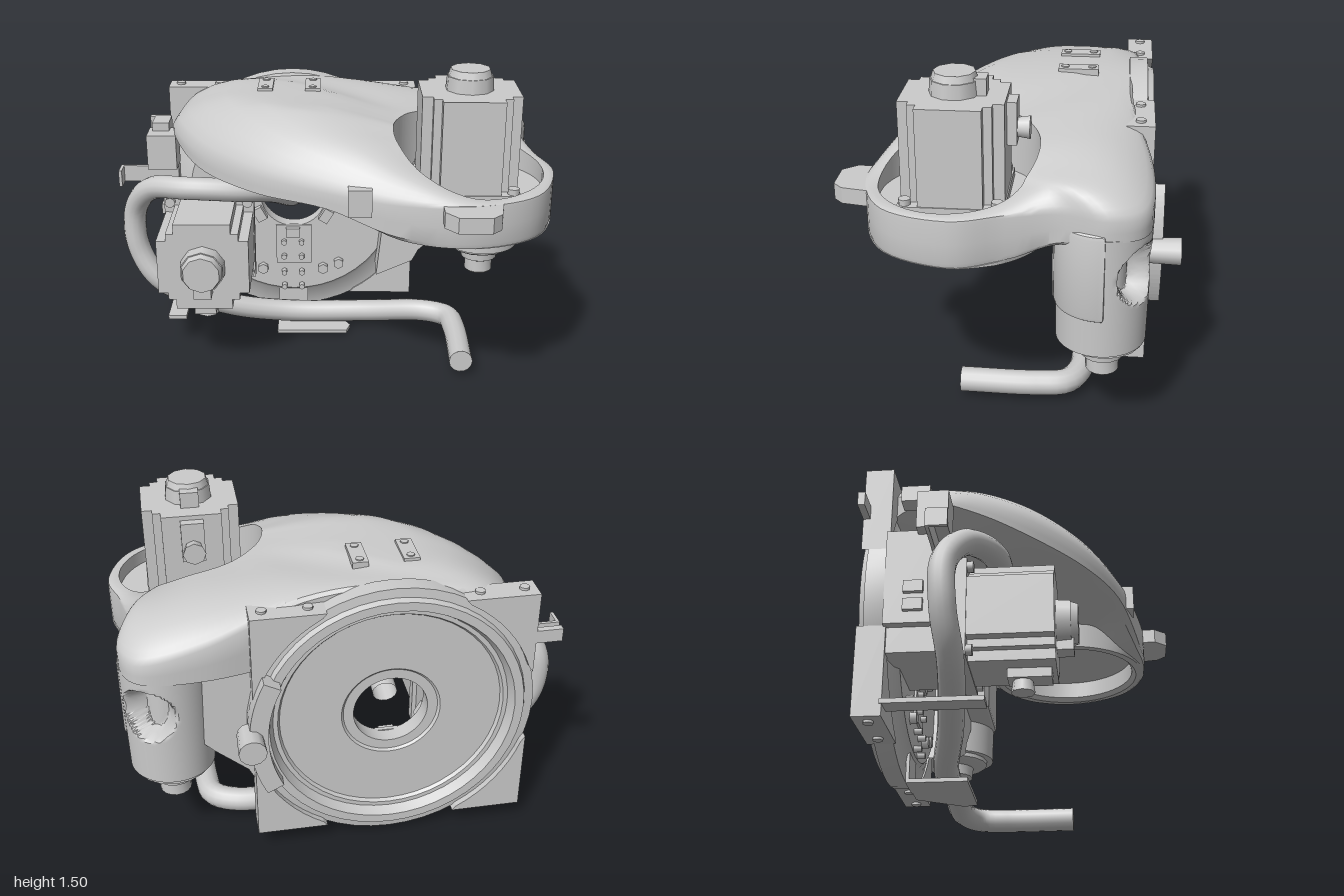
import * as THREE from 'three';
import { toCreasedNormals } from 'three/addons/utils/BufferGeometryUtils.js';

const V = (x, y, z) => new THREE.Vector3(x, y, z);
const mat = new THREE.MeshStandardMaterial({ color: 0xcccccc, side: THREE.DoubleSide });
const DISC = [-0.17, 0.68], HUB = [0.62, 0.2];

function add(parent, name, geo, x = 0, y = 0, z = 0) {
  const m = new THREE.Mesh(geo, mat);
  m.name = name;
  m.position.set(x, y, z);
  parent.add(m);
  return m;
}
// box given by its limits on each axis
const block = (p, name, x0, x1, y0, y1, z0, z1) => add(p, name,
  new THREE.BoxGeometry(x1 - x0, y1 - y0, z1 - z0), (x0 + x1) / 2, (y0 + y1) / 2, (z0 + z1) / 2);
// turned profile of [radius, height] pairs
const turned = (pts, n = 48) =>
  toCreasedNormals(new THREE.LatheGeometry(pts.map(p => new THREE.Vector2(...p)), n), 0.6);
// flat outline pushed along z
const slab = (pts, depth) => new THREE.ExtrudeGeometry(
  new THREE.Shape(pts.map(p => new THREE.Vector2(...p))), { depth, bevelEnabled: false });

// Hood: lofted along rays from the motor pocket out to the plan outline.
// columns: x, z, underside height, shoulder height, pocket rim height, crown
function hood() {
  const c = [
    [1.0, 0.2, 0.85, 1.05, 1.06, 0], [0.89, 0.47, 0.85, 1.04, 1.05, 0], [0.62, 0.59, 0.85, 1.04, 1.05, 0],
    [0.3, 0.56, 0.87, 1.04, 1.13, 0], [0, 0.47, 0.96, 1.06, 1.2, 0.02], [-0.3, 0.32, 0.97, 1.08, 1.23, 0.05],
    [-0.55, 0.1, 0.99, 1.1, 1.25, 0.08], [-0.69, -0.13, 1.04, 1.12, 1.25, 0.1], [-0.73, -0.33, 1.07, 1.13, 1.25, 0.1],
    [-0.6, -0.52, 1.03, 1.21, 1.25, 0.08], [-0.2, -0.5, 0.97, 1.29, 1.25, 0.03], [0.2, -0.5, 0.95, 1.26, 1.24, 0.03],
    [0.6, -0.585, 0.95, 1.14, 1.22, 0.03], [0.88, -0.57, 0.95, 1.07, 1.18, 0.03], [0.97, -0.42, 0.95, 1.07, 1.15, 0.03],
    [0.92, -0.22, 0.92, 1.07, 1.12, 0.02], [0.95, -0.02, 0.87, 1.06, 1.08, 0]];
  const curve = (a, b, d) => new THREE.CatmullRomCurve3(c.map(r => V(r[a], r[b], r[d])), true, 'catmullrom', 0.5);
  const c1 = curve(0, 1, 2), c2 = curve(3, 4, 5);
  const N = 102, S = [0.03, 0.08, 0.15, 0.25, 0.38, 0.52, 0.68, 0.84, 1];
  const pos = [], idx = [];
  let M = 0;
  for (let i = 0; i <= N; i++) {
    const t = (i % N) / N, o = c1.getPoint(t), h = c2.getPoint(t);
    const dx = o.x - HUB[0], dz = o.y - HUB[1], L = Math.hypot(dx, dz);
    const at = (r, y) => [HUB[0] + dx / L * r, y, HUB[1] + dz / L * r];
    const rows = [at(0.33, 0.87), at(0.35, 0.85), at(Math.min(0.385, L), 0.85), at(Math.min(0.39, L), Math.min(o.z, 0.97)),
      at(L - Math.max(0.005, (L - 0.39) * 0.2), Math.min(o.z, 0.97)), at(L, o.z + 0.02), at(L, (o.z + h.x) / 2), at(L, h.x - 0.01)];
    for (const s of S) {
      const y = h.x + (h.y - h.x) * (1 - (1 - s) ** 3) + h.z * Math.sin(Math.PI * s ** 0.7);
      rows.push(at(L + (0.33 - L) * s, Math.min(y, 1.31)));
    }
    rows.push(at(0.33, 0.87));
    M = rows.length;
    pos.push(...rows.flat());
  }
  for (let i = 0; i < N; i++) for (let j = 0; j < M - 1; j++) {
    const a = i * M + j, b = a + M;
    idx.push(a, b, a + 1, b, b + 1, a + 1);
  }
  const g = new THREE.BufferGeometry();
  g.setAttribute('position', new THREE.Float32BufferAttribute(pos, 3));
  g.setIndex(idx);
  return toCreasedNormals(g, 0.6);
}

// Motor built upright on y, base at 0, end cap on top
function motor(name, h) {
  const g = new THREE.Group(), a = 0.21, b = 0.13, q = 0.165;
  g.name = name;
  const sect = [[a, -b], [a, b], [q, b], [q, q], [b, q], [b, a], [-b, a], [-b, q], [-q, q], [-q, b],
    [-a, b], [-a, -b], [-q, -b], [-q, -q], [-b, -q], [-b, -a], [b, -a], [b, -q], [q, -q], [q, -b]];
  add(g, 'motorBody', slab(sect, h).rotateX(-Math.PI / 2));
  block(g, 'motorFlange', -0.215, 0.215, 0, 0.05, -0.215, 0.215);
  add(g, 'endCap', new THREE.CylinderGeometry(0.1, 0.105, 0.06, 10), 0, h + 0.03, 0);
  add(g, 'capBoss', new THREE.CylinderGeometry(0.085, 0.095, 0.03, 10), 0, h + 0.075, 0);
  block(g, 'capPlug', -0.04, 0.04, h, h + 0.07, -0.13, -0.05);
  for (const x of [-0.185, 0.185]) for (const z of [-0.185, 0.185])
    add(g, 'flangeBolt', new THREE.CylinderGeometry(0.025, 0.025, 0.03, 8), x, 0.06, z);
  // cable connector on the side
  block(g, 'connectorBase', -0.05, 0.05, h - 0.2, h - 0.02, -0.25, -0.2);
  add(g, 'connector', new THREE.CylinderGeometry(0.04, 0.05, 0.06, 8).rotateX(Math.PI / 2), 0, h - 0.14, -0.27);
  return g;
}

export function createModel() {
  const root = new THREE.Group();
  root.name = 'armColumn';
  add(root, 'hood', hood());
  add(root, 'pocketFloor', new THREE.CylinderGeometry(0.335, 0.335, 0.03, 40), HUB[0], 0.97, HUB[1]);

  // Rear dished disc with corner lugs around it and an arc-shaped stop
  add(root, 'mountingDisc', turned([[0.165, -0.44], [0.165, -0.52], [0.21, -0.52], [0.22, -0.53], [0.49, -0.53], [0.5, -0.545],
    [0.52, -0.545], [0.54, -0.59], [0.58, -0.59], [0.59, -0.565], [0.63, -0.56], [0.63, -0.48], [0.54, -0.46], [0.52, -0.44], [0.165, -0.44]])
    .rotateX(Math.PI / 2), ...DISC, 0);
  for (const sx of [-1, 1]) for (const sy of [-1, 1]) {
    const pts = [[sx * 0.605, sy * 0.175], [sx * 0.605, sy * 0.56], [sx * 0.29, sy * 0.56]];
    for (let a = 1.05; a > 0.3; a -= 0.09) pts.push([sx * 0.62 * Math.cos(a), sy * 0.62 * Math.sin(a)]);
    add(root, 'cornerLug', slab(pts, 0.12), ...DISC, -0.59);
    for (const x of [0.36, 0.55])
      add(root, 'lugScrew', new THREE.CylinderGeometry(0.022, 0.022, 0.012, 8), DISC[0] + sx * x, DISC[1] + sy * 0.565, -0.53);
  }
  const arc = new THREE.Shape();
  arc.absarc(0, 0, 0.63, -0.47, 0.47, false);
  arc.absarc(0, 0, 0.55, 0.47, -0.47, true);
  add(root, 'stopArc', new THREE.ExtrudeGeometry(arc, { depth: 0.085, bevelEnabled: false }), ...DISC, -0.645);
  add(root, 'stopPin', new THREE.CylinderGeometry(0.055, 0.06, 0.14, 12).rotateX(Math.PI / 2), 0.455, 0.68, -0.655);
  for (const [x, y] of [[-0.47, 1.0], [0.18, 0.94], [0.24, 0.83], [0.26, 0.7], [0.25, 0.57], [0.06, 0.31], [-0.02, 0.28], [-0.33, 0.28], [-0.42, 0.32]])
    add(root, 'plateBolt', new THREE.CylinderGeometry(0.028, 0.028, 0.04, 6).rotateX(Math.PI / 2), x, y, -0.43);
  for (let i = 0; i < 6; i++) {
    const a = i * Math.PI / 3 + 0.5, r = 0.195;
    add(root, 'boreClamp', new THREE.BoxGeometry(0.05, 0.07, 0.05),
      DISC[0] + r * Math.cos(a), DISC[1] + r * Math.sin(a), -0.43).rotation.z = a;
  }

  // Web joining the disc to the gear housing, and the shoulder with a rounded end
  add(root, 'web', slab([[0.25, 0.3], [0.43, 0.38], [0.46, 0.44], [0.6, 0.56], [0.66, 0.62], [0.66, 1.1], [0.2, 1.1], [0.3, 0.8]], 0.22), 0, 0, -0.525);
  const plan = new THREE.Shape();
  plan.moveTo(0.42, 0.45);
  plan.lineTo(0.42, 0.22);
  plan.lineTo(0.44, 0.205);
  plan.lineTo(0.78, 0.205);
  plan.absarc(0.78, 0.395, 0.185, -Math.PI / 2, 0, false);
  plan.lineTo(0.78, 0.45);
  add(root, 'housingShoulder', toCreasedNormals(new THREE.ExtrudeGeometry(plan, { depth: 0.34, bevelSize: 0.012, bevelThickness: 0.02,
    bevelSegments: 2, curveSegments: 12 }).rotateX(-Math.PI / 2), 0.6), 0, 0.64, 0);

  // Gear housing with a recessed oval window facing the rear
  const gear = new THREE.CylinderGeometry(0.195, 0.185, 0.52, 96, 48);
  const p = gear.attributes.position;
  for (let i = 0; i < p.count; i++) {
    const da = Math.atan2(p.getX(i), -p.getZ(i)) - 0.55, dy = p.getY(i) - 0.08;
    const e = Math.hypot(da / 0.72, dy / 0.13);
    const k = 1 - 0.5 * (1 - THREE.MathUtils.smoothstep(e, 0.78, 1));
    if (Math.abs(dy) < 0.15) p.setXYZ(i, p.getX(i) * k, p.getY(i), p.getZ(i) * k);
  }
  add(root, 'gearHousing', toCreasedNormals(gear, 0.7), 0.78, 0.72, -0.395);
  add(root, 'outputFlange', turned([[0, 0.29], [0.06, 0.29], [0.07, 0.3], [0.07, 0.36], [0.09, 0.37], [0.095, 0.42],
    [0.15, 0.43], [0.165, 0.44], [0.165, 0.47]], 16), 0.78, 0, -0.405);

  // Upright motor in the pocket, and the forward-facing motor with its connector below
  const m1 = motor('uprightMotor', 0.46);
  m1.position.set(0.61, 0.97, 0.21);
  root.add(m1);
  const m2 = motor('forwardMotor', 0.4);
  m2.rotation.set(Math.PI / 2, Math.PI, 0);
  m2.position.set(-0.565, 0.58, -0.2);
  root.add(m2);
  block(root, 'motorMount', -0.76, -0.37, 0.39, 0.77, -0.48, -0.19);

  // Cable hose from the bore around the motor and out at the front
  const path = new THREE.CatmullRomCurve3([V(-0.16, 0.72, -0.44), V(-0.17, 0.76, -0.25), V(-0.26, 0.83, -0.12), V(-0.42, 0.86, -0.05),
    V(-0.65, 0.87, -0.05), V(-0.84, 0.83, -0.15), V(-0.93, 0.7, -0.22), V(-0.93, 0.5, -0.22), V(-0.82, 0.32, -0.2), V(-0.5, 0.17, -0.24),
    V(-0.2, 0.1, -0.3), V(0.2, 0.095, -0.31), V(0.5, 0.095, -0.31), V(0.61, 0.095, -0.25), V(0.635, 0.095, -0.12), V(0.635, 0.095, 0.21)]);
  add(root, 'hose', new THREE.TubeGeometry(path, 120, 0.055, 14));
  add(root, 'hoseEnd', new THREE.CircleGeometry(0.055, 14), 0.635, 0.095, 0.21);

  // Hose bracket under the disc
  add(root, 'bracketFoot', slab([[-0.25, 0.2], [0.1, 0.2], [0.12, 0.26], [0.0, 0.46], [-0.25, 0.46]], 0.018).rotateX(-Math.PI / 2), 0, 0.02, 0);
  block(root, 'bracketUpright', -0.25, -0.1, 0.02, 0.28, -0.465, -0.45);
  block(root, 'bracketPad', -0.26, -0.08, 0.31, 0.52, -0.45, -0.43);
  for (const x of [-0.22, -0.13]) for (const y of [0.18, 0.26, 0.35, 0.43])
    add(root, 'bracketBolt', new THREE.CylinderGeometry(0.015, 0.015, 0.05, 6).rotateX(Math.PI / 2), x, y, -0.43);

  // Side brackets and connectors
  block(root, 'lowerSideTab', -0.78, -0.69, 0.17, 0.19, -0.48, -0.07);
  block(root, 'sideArm', -1.0, -0.72, 0.82, 0.9, -0.29, -0.275);
  block(root, 'sideLip', -1.0, -0.985, 0.82, 0.9, -0.29, -0.2);
  block(root, 'sideStrip', -0.8, -0.74, 0.5, 0.92, -0.48, -0.28);
  block(root, 'sideConnector', -0.86, -0.72, 0.9, 1.07, -0.35, -0.22);
  block(root, 'sideClip', -0.84, -0.76, 1.04, 1.11, -0.42, -0.3);
  block(root, 'cornerTab', -0.89, -0.76, 1.0, 1.06, -0.59, -0.56);
  for (const y of [0.55, 0.63]) block(root, 'sidePlug', -0.82, -0.77, y, y + 0.05, -0.4, -0.32);

  // Top pads and front fittings
  for (const x of [-0.285, -0.065]) {
    block(root, 'topPad', x - 0.035, x + 0.035, 1.27, 1.322, -0.34, -0.16);
    for (const z of [-0.31, -0.19]) add(root, 'padScrew', new THREE.CylinderGeometry(0.018, 0.018, 0.01, 8), x, 1.322, z);
  }
  add(root, 'frontLug', slab([[0.48, -0.56], [0.73, -0.56], [0.71, -0.67], [0.67, -0.71], [0.53, -0.71], [0.48, -0.65]], 0.07)
    .rotateX(-Math.PI / 2), 0, 0.97, 0);
  block(root, 'frontClip', 0.09, 0.19, 0.97, 1.09, 0.46, 0.54);
  return root;
}
